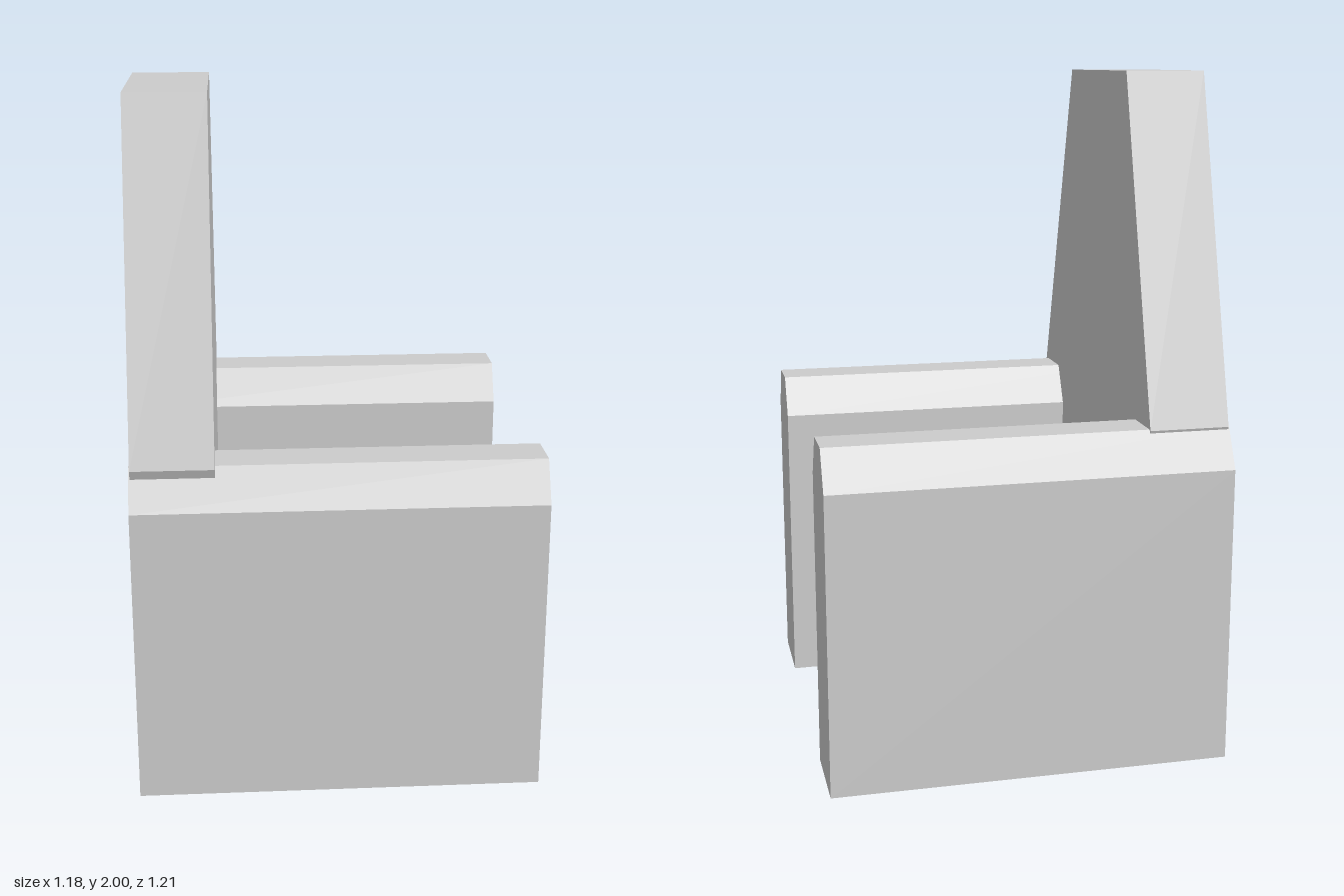
import * as THREE from 'three';

const material = new THREE.MeshStandardMaterial({ color: 0xcccccc, flatShading: true });

// Extrudes a [z, y] outline along x, from x0 to x1.
function prism(name, outline, x0, x1) {
  const shape = new THREE.Shape(outline.map(([z, y]) => new THREE.Vector2(z, y)));
  const geometry = new THREE.ExtrudeGeometry(shape, { depth: x1 - x0, bevelEnabled: false });
  geometry.rotateY(-Math.PI / 2).translate(x1, 0, 0);
  const mesh = new THREE.Mesh(geometry, material);
  mesh.name = name;
  return mesh;
}

// Box filling the gap between the two armrests.
function block(name, x0, x1, y0, y1) {
  const mesh = new THREE.Mesh(new THREE.BoxGeometry(x1 - x0, y1 - y0, 0.718), material);
  mesh.position.set((x0 + x1) / 2, (y0 + y1) / 2, 0);
  mesh.name = name;
  return mesh;
}

export function createModel() {
  const chair = new THREE.Group();
  chair.name = 'armchair';

  // Armrests: full-height slabs with chamfered tops
  for (const [name, side] of [['leftArmrest', -1], ['rightArmrest', 1]]) {
    const outline = [[0.357, 0], [0.607, 0], [0.607, 0.885], [0.547, 1.003], [0.417, 1.003], [0.357, 0.885]];
    chair.add(prism(name, outline.map(([z, y]) => [z * side, y]), -0.592, 0.588));
  }

  // Recessed base and overhanging seat cushion
  chair.add(block('base', -0.592, 0.33, 0, 0.435));
  chair.add(block('seat', -0.4, 0.445, 0.435, 0.64));

  // Tapered backrest, set slightly off centre and tucked between the armrests
  const back = [[-0.35, 0.435], [0.35, 0.435], [0.573, 1], [0.29, 2], [-0.272, 2], [-0.555, 1]];
  chair.add(prism('backrest', back, -0.588, -0.352));

  return chair;
}
